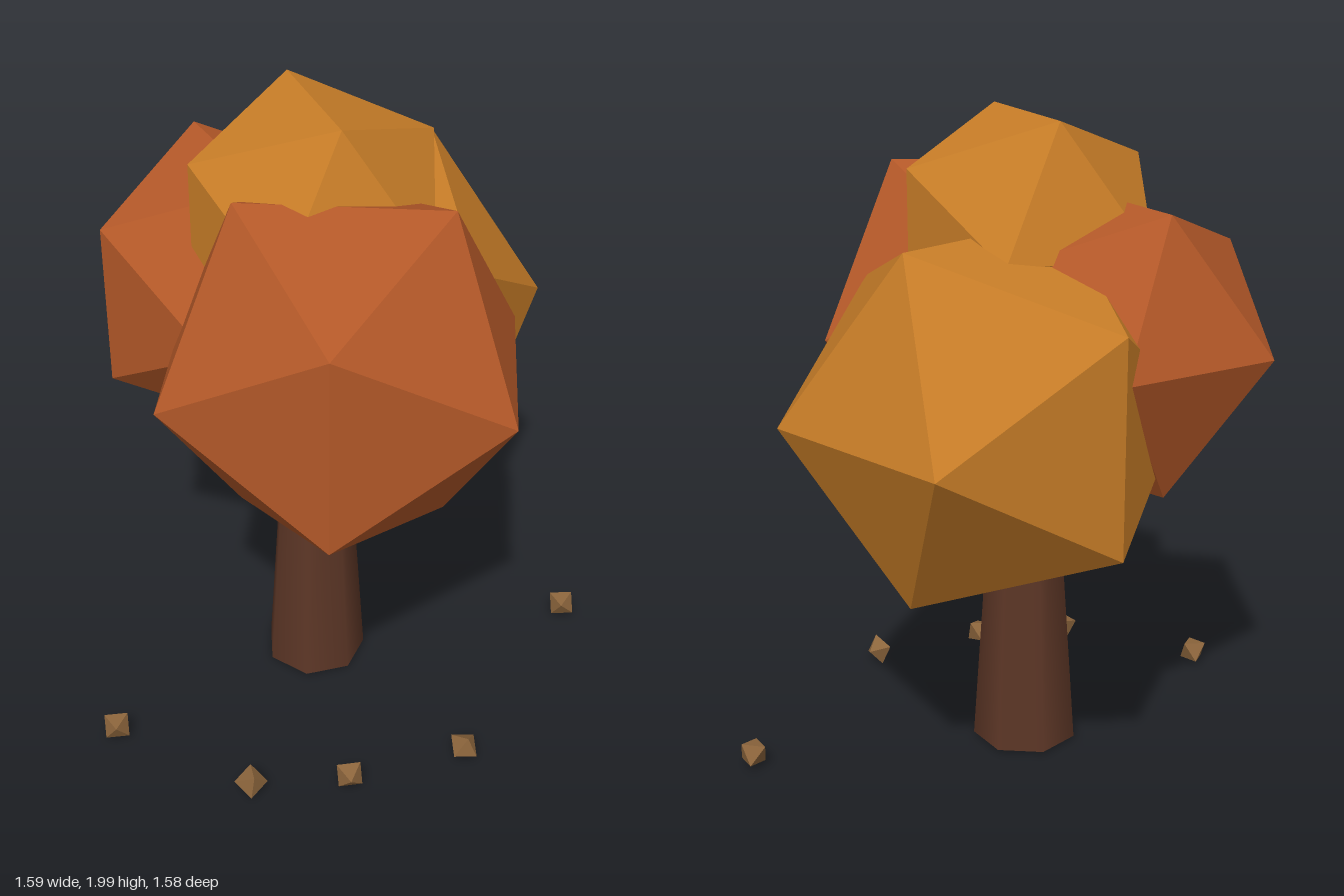
import * as THREE from 'three';

function material(name, color, flatShading = true) {
  const m = new THREE.MeshStandardMaterial({ color, flatShading });
  m.name = name;
  return m;
}

export function createModel() {
  const group = new THREE.Group();
  group.name = 'autumnTree';

  const bark = material('bark brown', 0x5c3626, false);
  const rust = material('rust leaves', 0xb35828);
  const amber = material('amber leaves', 0xc67c27);
  const nut = material('fallen leaf brown', 0x8c653c);

  function add(name, geometry, mat, position, rotation = [0, 0, 0]) {
    const mesh = new THREE.Mesh(geometry, mat);
    mesh.name = name;
    mesh.position.set(...position);
    mesh.rotation.set(...rotation);
    group.add(mesh);
  }

  // Seven-sided tapered trunk, its top hidden in the crown
  add('trunk', new THREE.CylinderGeometry(0.09, 0.165, 1.1, 7), bark, [0.005, 0.568, -0.05]);

  // Crown: four overlapping icosahedra, turned about the vertical
  const crown = [
    ['frontFoliage', rust, 0.577, [-0.13, 1.325, 0.225], -0.81],
    ['leftFoliage', amber, 0.6, [0.285, 1.19, -0.17], 0],
    ['backFoliage', rust, 0.48, [-0.08, 1.36, -0.33], 1.312],
    ['topFoliage', amber, 0.431, [0.005, 1.633, -0.05], 1.186],
  ];
  for (const [name, mat, radius, position, turn] of crown) {
    add(name, new THREE.IcosahedronGeometry(radius, 0), mat, position, [0, turn, 0]);
  }

  // Small fallen pieces scattered around the trunk
  const piece = new THREE.OctahedronGeometry(0.052, 0);
  const fallen = [
    [-0.76, -0.14, [0.7, 0.4, 0.6]],
    [-0.595, 0.33, [0.3, 1.0, 0.4]],
    [-0.35, 0.51, [0.8, 0.5, 0.7]],
    [0.0, 0.66, [0.4, 0.2, 0.1]],
    [0.75, 0.405, [0.6, 0.3, 0.8]],
  ];
  fallen.forEach(([x, z, rotation], i) => {
    add('fallenPiece' + (i + 1), piece, nut, [x, 0.057, z], rotation);
  });

  return group;
}
